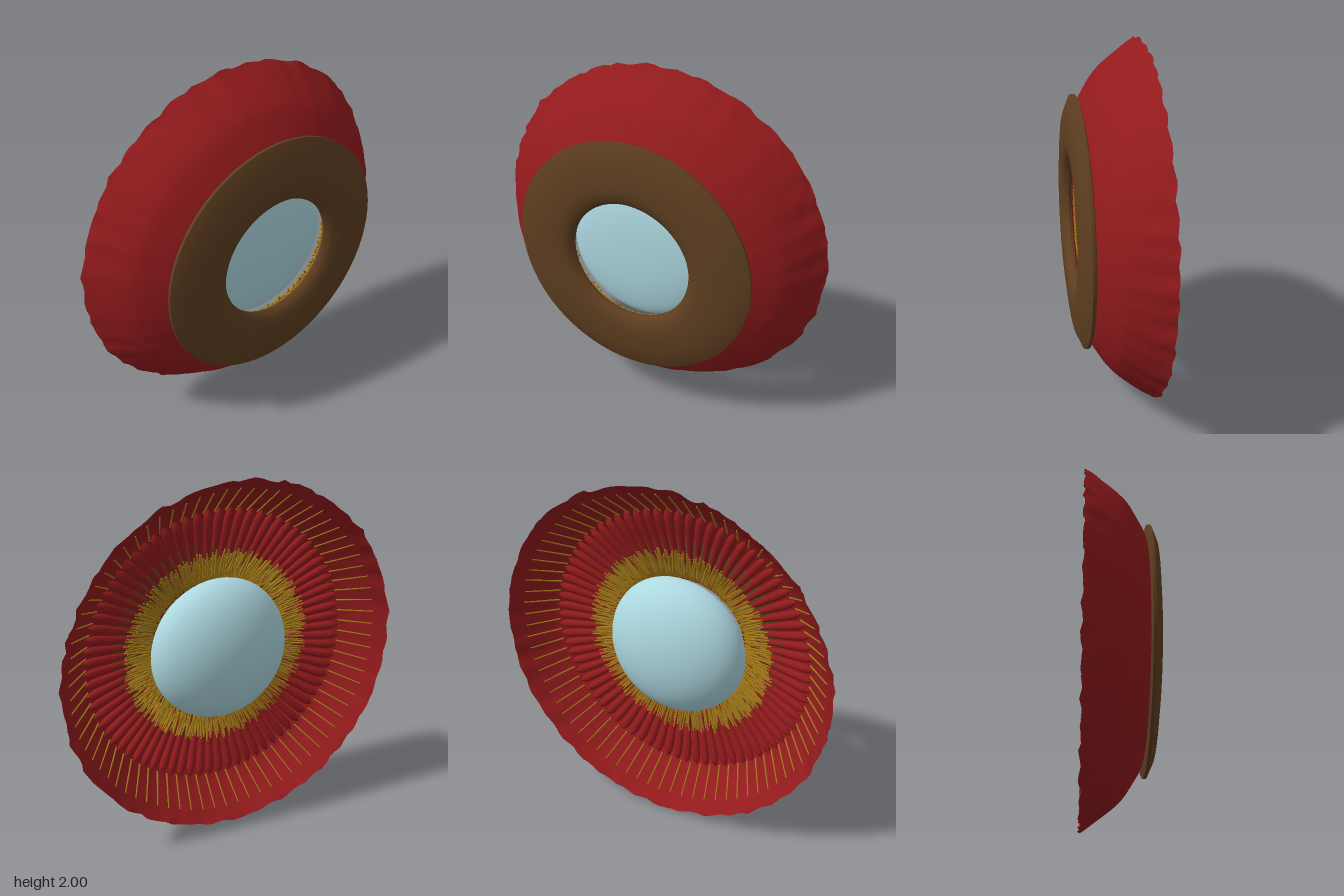
import * as THREE from 'three';
import { mergeGeometries, mergeVertices, toCreasedNormals } from 'three/addons/utils/BufferGeometryUtils.js';

const mat = (name, color, side = THREE.FrontSide) => {
  const m = new THREE.MeshStandardMaterial({ color, side });
  m.name = name;
  return m;
};

// small seeded random, 0..1
let seed = 7;
const rnd = () => (seed = (seed * 16807) % 2147483647) / 2147483647;

const lathe = (pts, segments) => new THREE.LatheGeometry(pts.map(p => new THREE.Vector2(p[0], p[1])), segments);

// profile of [radius, z] points turned about the z axis
const turn = (pts, segments) => lathe(pts, segments).rotateX(Math.PI / 2);

const bowlProfile = new THREE.SplineCurve([
  [0.358, 0.148], [0.5, 0.148], [0.61, 0.143], [0.67, 0.125], [0.73, 0.09], [0.8, 0.045], [0.85, 0], [0.92, -0.09], [0.99, -0.195],
].map(p => new THREE.Vector2(...p)));

// cloth bowl with soft radial wrinkles and a ragged rim
function bowlGeometry() {
  const pts = bowlProfile.getPoints(28).reverse().map(p => [p.x, p.y]);
  let g = turn(pts, 144);
  g.deleteAttribute('uv');
  g.deleteAttribute('normal');
  g = mergeVertices(g, 1e-4);
  const p = g.attributes.position;
  for (let i = 0; i < p.count; i++) {
    const x = p.getX(i), y = p.getY(i), z = p.getZ(i);
    const a = Math.atan2(y, x), r = Math.hypot(x, y);
    const t = THREE.MathUtils.clamp((r - 0.62) / 0.37, 0, 1);
    const w = 0.4 * Math.sin(36 * a + 2 * Math.sin(3 * a)) + 0.35 * Math.sin(23 * a + 1.3) + 0.3 * Math.sin(11 * a);
    const fray = t ** 8 * (rnd() - 0.5);
    const k = 1 + 0.009 * t * t * w + 0.012 * fray;
    p.setXYZ(i, x * k, y * k, z + 0.006 * t * t * Math.sin(41 * a + Math.sin(5 * a)) + 0.008 * fray);
  }
  g.computeVertexNormals();
  return g;
}

// tapered strand between two [radius, z] points at an angle, with a sideways lean
function strand(a, from, to, width, lean = 0) {
  const A = new THREE.Vector3(from[0] * Math.cos(a), from[0] * Math.sin(a), from[1]);
  const b = a + lean;
  const B = new THREE.Vector3(to[0] * Math.cos(b), to[0] * Math.sin(b), to[1]);
  const d = B.clone().sub(A);
  const g = new THREE.CylinderGeometry(width * 0.7, width, d.length(), 6, 1);
  g.applyQuaternion(new THREE.Quaternion().setFromUnitVectors(new THREE.Vector3(0, 1, 0), d.normalize()));
  return g.translate(...A.add(B).multiplyScalar(0.5).toArray());
}

export function createModel() {
  const red = mat('red cloth', 0x921a1c, THREE.DoubleSide);
  const brown = mat('brown wood', 0x5e3e20);
  const blue = mat('pale blue glass', 0xadd8e0);
  const gold = mat('dull gold', 0xa07818);

  const model = new THREE.Group();
  const body = new THREE.Group();
  body.name = 'body';
  body.position.y = 1;
  model.add(body);
  const add = (name, geometry, material) => {
    const mesh = new THREE.Mesh(geometry, material);
    mesh.name = name;
    body.add(mesh);
  };

  add('bowl', bowlGeometry(), red);

  // front ring
  const ring = turn([
    [0.355, 0.15], [0.69, 0.142], [0.703, 0.147], [0.703, 0.163], [0.63, 0.195], [0.56, 0.201], [0.5, 0.21],
    [0.44, 0.208], [0.39, 0.202], [0.365, 0.185], [0.352, 0.165], [0.355, 0.15],
  ], 64);
  add('frontRing', toCreasedNormals(ring, 0.6), brown);

  // lens, bulging further at the back than at the front
  const lens = [];
  for (let i = 0; i <= 32; i++) {
    const t = -Math.PI / 2 + (Math.PI * i) / 32;
    lens.push([Math.max(0, 0.412 * Math.cos(t)), 0.045 + Math.sin(t) * (t < 0 ? 0.23 : 0.08)]);
  }
  add('lens', turn(lens, 48), blue);

  // ring of slim petals with short pointed tips inside the bowl
  const petals = [];
  const N = 76;
  for (let i = 0; i < N; i++) {
    const g = lathe([[0, -0.19], [0.011, -0.16], [0.017, -0.05], [0.024, 0.08], [0.025, 0.14], [0.018, 0.17], [0, 0.195]], 10);
    g.rotateZ(-Math.PI / 2).scale(1, 1, 0.85).rotateY(0.22);
    petals.push(g.translate(0.615, 0, 0.075).rotateZ((i / N) * Math.PI * 2));
  }
  add('petals', mergeGeometries(petals), red);

  // two layers of dense filaments around the lens
  const filaments = [];
  const F = 230;
  for (let i = 0; i < F; i++) {
    const a = (i / F) * Math.PI * 2;
    filaments.push(strand(a, [0.362 + 0.02 * rnd(), 0.135], [0.52 + 0.04 * rnd(), 0.065 - 0.015 * rnd()],
      0.006, (rnd() - 0.5) * 0.04));
    filaments.push(strand(a + 0.014, [0.425 + 0.03 * rnd(), 0.08 - 0.03 * rnd()], [0.54 + 0.04 * rnd(), 0.05 - 0.025 * rnd()],
      0.006, (rnd() - 0.5) * 0.05));
  }
  add('filaments', mergeGeometries(filaments), gold);

  // thin threads near the rim
  const threads = [];
  for (let i = 0; i < N; i++) {
    const a = ((i + 0.5) / N) * Math.PI * 2;
    threads.push(strand(a, [0.79, 0.025], [0.925 + 0.012 * rnd(), -0.13], 0.005));
  }
  add('rimThreads', mergeGeometries(threads), gold);

  return model;
}
